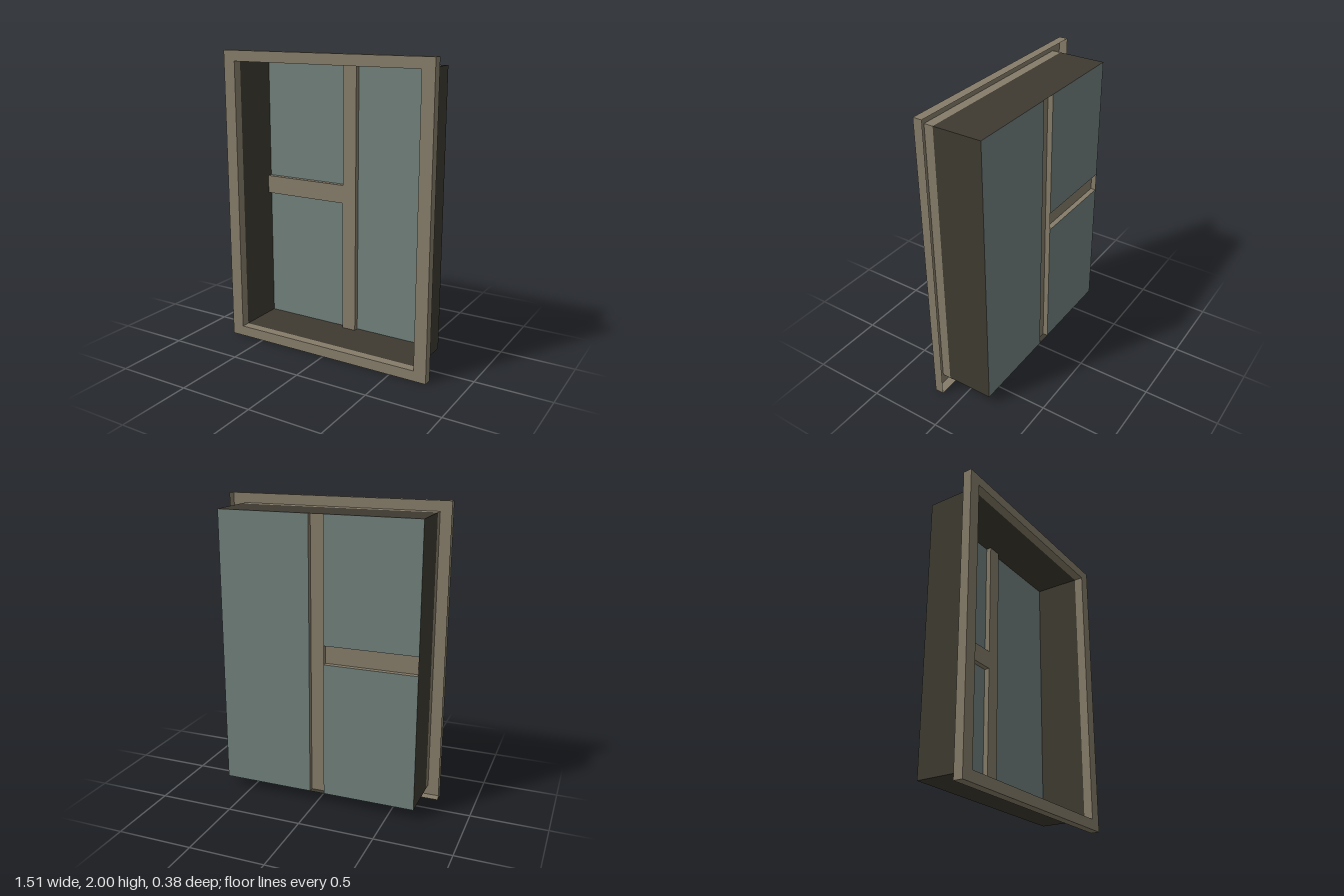
import * as THREE from 'three';
import { mergeGeometries } from 'three/addons/utils/BufferGeometryUtils.js';

const paint = (color) => new THREE.MeshStandardMaterial({ color, side: THREE.DoubleSide });

// Rectangle facing the front at depth z
function sheet(x0, x1, y0, y1, z) {
  return new THREE.PlaneGeometry(x1 - x0, y1 - y0).translate((x0 + x1) / 2, (y0 + y1) / 2, z);
}

// Upright wall facing +x (sign 1) or -x (sign -1)
function sideWall(x, y0, y1, z0, z1, sign) {
  return new THREE.PlaneGeometry(z1 - z0, y1 - y0)
    .rotateY(sign * Math.PI / 2).translate(x, (y0 + y1) / 2, (z0 + z1) / 2);
}

// Level wall facing +y (sign 1) or -y (sign -1)
function levelWall(x0, x1, y, z0, z1, sign) {
  return new THREE.PlaneGeometry(x1 - x0, z1 - z0)
    .rotateX(-sign * Math.PI / 2).translate((x0 + x1) / 2, y, (z0 + z1) / 2);
}

// Four walls around a rectangle, open at front and back
function sleeve(x0, x1, y0, y1, z0, z1) {
  return [
    sideWall(x0, y0, y1, z0, z1, -1), sideWall(x1, y0, y1, z0, z1, 1),
    levelWall(x0, x1, y0, z0, z1, -1), levelWall(x0, x1, y1, z0, z1, 1),
  ];
}

export function createModel() {
  const group = new THREE.Group();
  const frameMat = paint(0x857c69);
  const recessMat = paint(0x3e3a31);
  const glassMat = paint(0x70807c);

  const add = (name, parts, material) => {
    const mesh = new THREE.Mesh(mergeGeometries(parts), material);
    mesh.name = name;
    group.add(mesh);
  };

  const W = 0.755, H = 2;                  // outer frame
  const w = 0.67, bottom = 0.07, top = 1.93; // opening
  const front = 0.19, lip = 0.13, back = -0.19, barFront = -0.155;
  const bar = 0.05, railLow = 0.98, railHigh = 1.105;

  // Casing: front plate with skirt and reveal, hollow behind
  add('casing', [
    sheet(-W, -w, 0, H, front), sheet(w, W, 0, H, front),
    sheet(-w, w, 0, bottom, front), sheet(-w, w, top, H, front),
    ...sleeve(-W, W, 0, H, lip, front),
    ...sleeve(-w, w, bottom, top, lip, front),
  ], frameMat);

  // Deep reveal between casing and glass
  add('recess', sleeve(-w, w, bottom, top, back, lip), recessMat);

  // Glazing bars: channels open at the back
  add('mullion', [
    sheet(-bar, bar, bottom, top, barFront),
    sideWall(-bar, bottom, top, back, barFront, -1),
    sideWall(bar, bottom, top, back, barFront, 1),
  ], frameMat);
  add('crossRail', [
    sheet(-w, -bar, railLow, railHigh, barFront),
    levelWall(-w, -bar, railLow, back, barFront, -1),
    levelWall(-w, -bar, railHigh, back, barFront, 1),
    sideWall(-w + 0.002, railLow, railHigh, back, barFront, -1),
  ], frameMat);

  // Glass panes
  add('largePane', [sheet(bar, w, bottom, top, back)], glassMat);
  add('upperPane', [sheet(-w, -bar, railHigh, top, back)], glassMat);
  add('lowerPane', [sheet(-w, -bar, bottom, railLow, back)], glassMat);

  return group;
}
